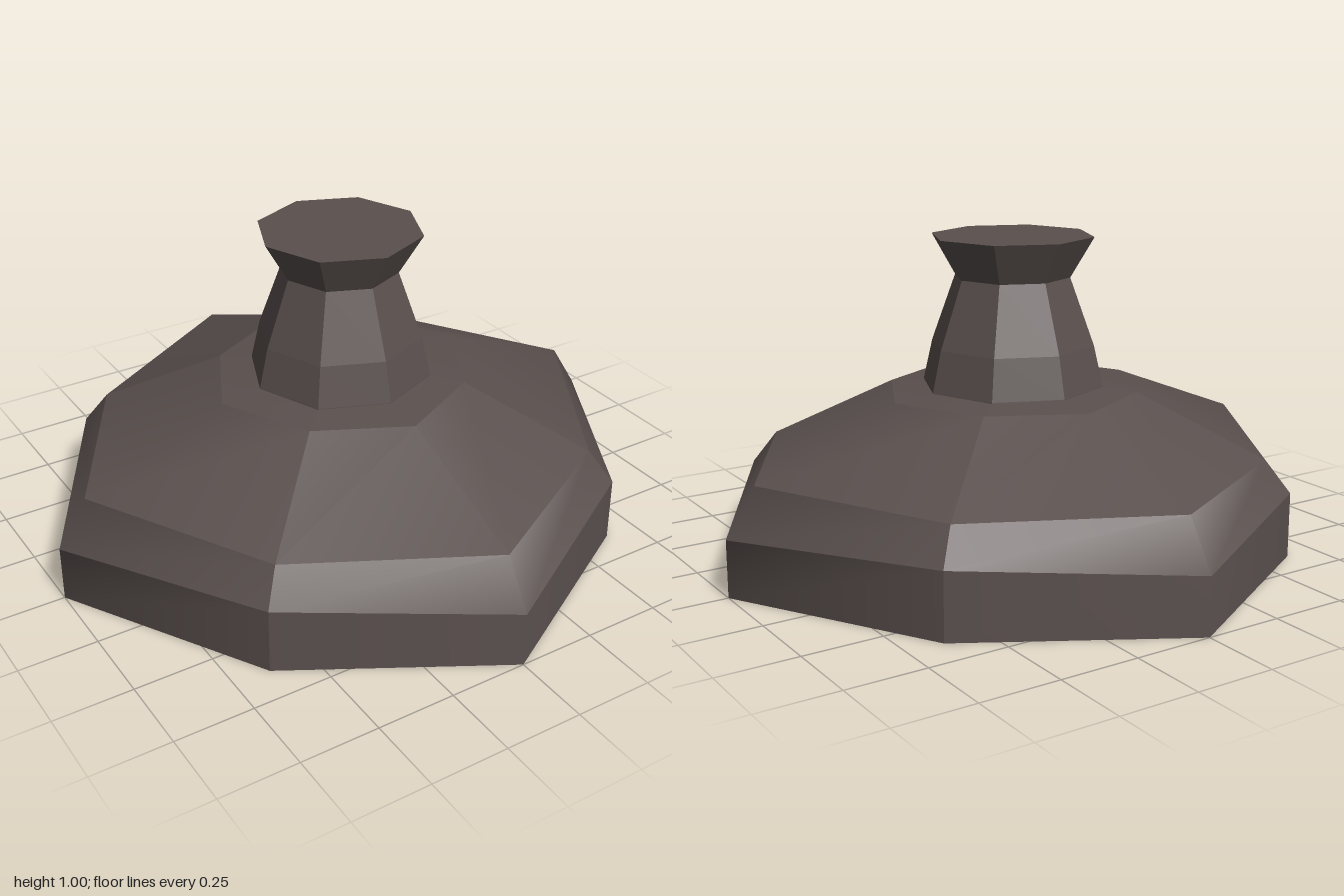
import * as THREE from 'three';

const metal = new THREE.MeshStandardMaterial({ color: 0x5a504e });
const metalFlat = new THREE.MeshStandardMaterial({ color: 0x5a504e, flatShading: true, side: THREE.DoubleSide });
const glow = new THREE.MeshStandardMaterial({ color: 0x9a9460, flatShading: true, side: THREE.DoubleSide });

// One band of an eight-cornered shell between two rings. Each quarter is smooth
// across its axis corner and sharp at the diagonals.
// A ring is [axis radius, axis height, diagonal radius, diagonal height].
function band(name, a, b) {
  const pos = [], index = [];
  for (let q = 0; q < 4; q++) {
    const base = pos.length / 3;
    for (const ring of [a, b]) {
      for (let c = -1; c <= 1; c++) {
        const angle = q * Math.PI / 2 + c * Math.PI / 4;
        const r = c === 0 ? ring[0] : ring[2];
        pos.push(r * Math.sin(angle), c === 0 ? ring[1] : ring[3], r * Math.cos(angle));
      }
    }
    for (let c = 0; c < 2; c++) {
      const i = base + c;
      index.push(i, i + 1, i + 4, i, i + 4, i + 3);
    }
  }
  const geometry = new THREE.BufferGeometry();
  geometry.setAttribute('position', new THREE.Float32BufferAttribute(pos, 3));
  geometry.setIndex(index);
  geometry.computeVertexNormals();
  const mesh = new THREE.Mesh(geometry, metal);
  mesh.name = name;
  return mesh;
}

function shell(name, rings, bandNames) {
  const group = new THREE.Group();
  group.name = name;
  bandNames.forEach((n, i) => group.add(band(n, rings[i], rings[i + 1])));
  return group;
}

function lathe(name, points, sides, material) {
  const geometry = new THREE.LatheGeometry(points.map(([r, y]) => new THREE.Vector2(r, y)), sides);
  const mesh = new THREE.Mesh(geometry, material);
  mesh.name = name;
  return mesh;
}

export function createModel() {
  const lamp = new THREE.Group();
  lamp.name = 'pendantLamp';

  // Outside of the shade, from rim to collar
  lamp.add(shell('shadeOutside', [
    [1, 0, 0.898, 0],
    [1, 0.18, 0.898, 0.21],
    [0.905, 0.33, 0.815, 0.315],
    [0.43, 0.515, 0.405, 0.515],
    [0.27, 0.53, 0.26, 0.53],
  ], ['skirt', 'bevel', 'roof', 'collar']));

  // Hollow underside, from ceiling to rim
  lamp.add(shell('shadeInside', [
    [0, 0.43, 0, 0.43],
    [0.45, 0.43, 0.33, 0.43],
    [0.64, 0.245, 0.54, 0.25],
    [1, 0, 0.898, 0],
  ], ['ceiling', 'innerCone', 'innerFlare']));

  // Tapered neck with a flared, closed cap
  lamp.add(lathe('neck', [[0.297, 0.515], [0.295, 0.53], [0.265, 0.66], [0.187, 0.875]], 8, metalFlat));
  lamp.add(lathe('cap', [[0.187, 0.875], [0.263, 1.005], [0, 1.005]], 8, metalFlat));

  // Stepped bulb under the ceiling
  lamp.add(lathe('bulb', [
    [0, 0.21], [0.11, 0.22], [0.155, 0.28], [0.11, 0.31], [0.17, 0.35], [0.165, 0.38], [0.1, 0.41], [0.1, 0.435],
  ], 10, glow));

  return lamp;
}
